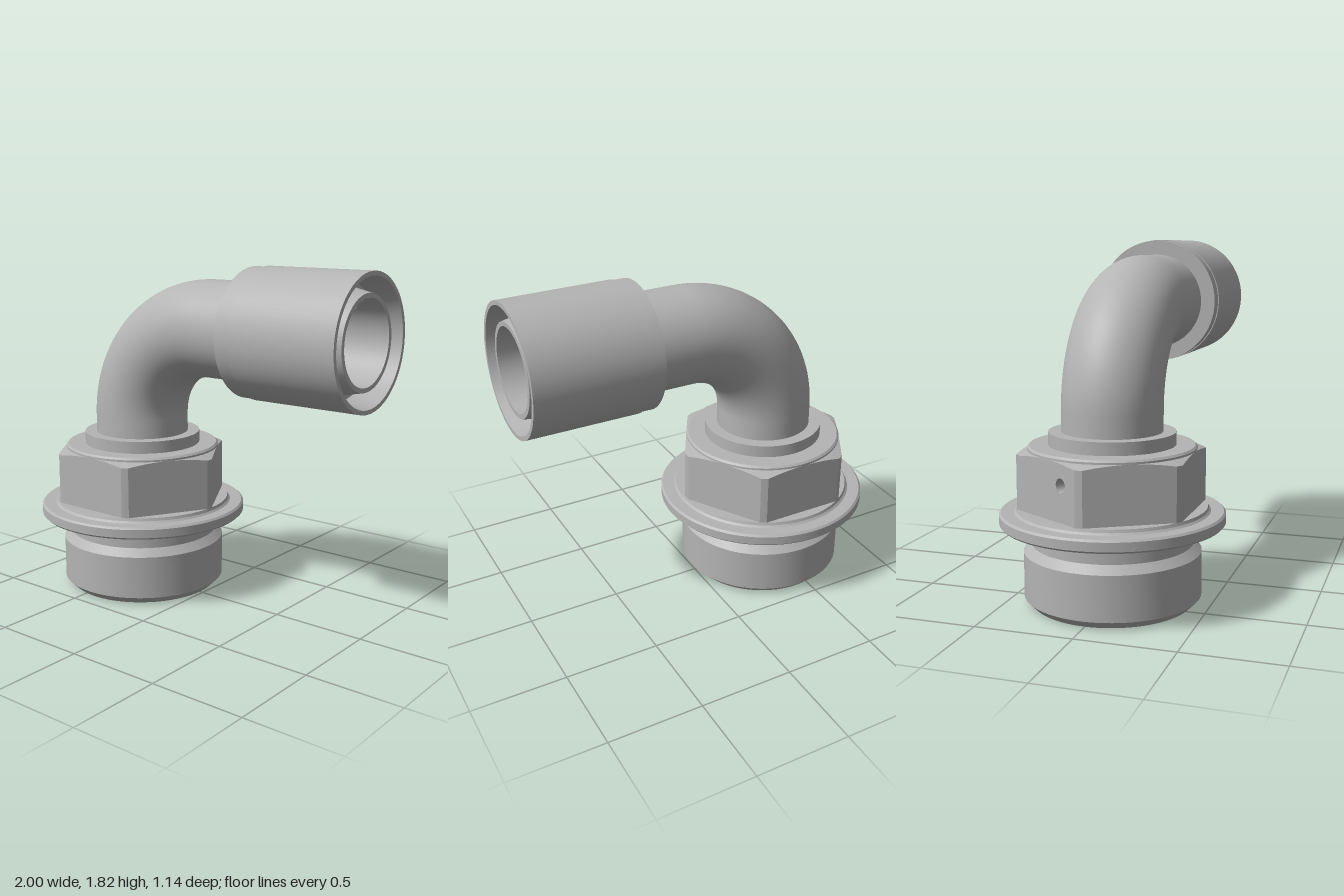
import * as THREE from 'three';
import { toCreasedNormals } from 'three/addons/utils/BufferGeometryUtils.js';

const AXIS_X = -0.43;   // vertical axis of the threaded end
const PIPE_Y = 1.48;    // height of the horizontal outlet
const PIPE_R = 0.255, BORE_R = 0.212, BEND_R = 0.505;
const FLAT = 0.425, CORNER = 0.48;   // hexagon: flat distance, turned corner radius
const HEX_BOTTOM = 0.49, HEX_TOP = 0.79;

export function createModel() {
  const model = new THREE.Group();
  model.name = 'elbowFitting';
  const steel = new THREE.MeshStandardMaterial({ color: 0xb4b4b4, side: THREE.DoubleSide });
  steel.name = 'steel grey';

  const add = (parent, name, geometry) => {
    const mesh = new THREE.Mesh(geometry, steel);
    mesh.name = name;
    parent.add(mesh);
    return mesh;
  };
  const turned = (profile) => toCreasedNormals(
    new THREE.LatheGeometry(profile.map(([r, y]) => new THREE.Vector2(r, y)), 96), 0.3);

  const base = new THREE.Group();
  base.name = 'base';
  base.position.x = AXIS_X;
  model.add(base);

  // Tapered bore, threaded spigot, groove, flange and the step below the nut
  add(base, 'spigotAndFlange', turned([
    [BORE_R, 0.88], [0.39, 0], [0.41, 0], [0.45, 0.04], [0.45, 0.27], [0.41, 0.31], [0.41, 0.41],
    [0.56, 0.41], [0.57, 0.42], [0.57, 0.465], [0.56, 0.475], [0.495, 0.475], [0.485, 0.485],
    [0.48, 0.50], [0.40, 0.50],
  ]));

  // Disc and collar on top of the nut
  add(base, 'collar', turned([
    [FLAT, HEX_TOP], [FLAT, 0.8], [0.415, 0.81], [0.32, 0.81], [0.32, 0.875], [PIPE_R, 0.875],
  ]));

  // Hexagonal nut
  const nut = new THREE.Group();
  nut.name = 'hexNut';
  base.add(nut);
  const chamferY = (r) => HEX_TOP - (r - FLAT) * 0.35;
  const halfWidth = Math.sqrt(CORNER ** 2 - FLAT ** 2);
  const cornerHalf = Math.PI / 6 - Math.acos(FLAT / CORNER);
  const hole = { u: 0.12, y: 0.68, r: 0.035, depth: 0.06 };

  for (let i = 0; i < 6; i++) {
    const angle = i * Math.PI / 3;
    // Flat whose top edge follows the chamfer
    const shape = new THREE.Shape();
    shape.moveTo(-halfWidth, HEX_BOTTOM);
    shape.lineTo(halfWidth, HEX_BOTTOM);
    for (let k = 12; k >= -12; k--) {
      const u = halfWidth * k / 12;
      shape.lineTo(u, chamferY(Math.hypot(FLAT, u)));
    }
    if (i === 4) {
      const circle = new THREE.Path();
      circle.absarc(hole.u, hole.y, hole.r, 0, Math.PI * 2, true);
      shape.holes.push(circle);
    }
    const flat = add(nut, 'nutFlat', new THREE.ShapeGeometry(shape, 24));
    flat.geometry.translate(0, 0, FLAT);
    flat.rotation.y = angle;

    // Narrow turned corner between two flats
    const height = chamferY(CORNER) - HEX_BOTTOM;
    const corner = add(nut, 'nutCorner', new THREE.CylinderGeometry(CORNER, CORNER, height, 4, 1, true,
      angle + Math.PI / 6 - cornerHalf, cornerHalf * 2));
    corner.position.y = HEX_BOTTOM + height / 2;
  }

  // Chamfer ring from the nut outline to the top disc
  const chamfer = new THREE.CylinderGeometry(FLAT, CORNER, 1, 180, 1, true);
  const p = chamfer.attributes.position;
  for (let i = 0; i < p.count; i++) {
    const a = Math.atan2(p.getX(i), p.getZ(i));
    const fold = a - Math.round(a / (Math.PI / 3)) * Math.PI / 3;
    const r = p.getY(i) > 0 ? FLAT - 0.002 : Math.min(FLAT / Math.cos(fold), CORNER);
    p.setXYZ(i, r * Math.sin(a), p.getY(i) > 0 ? HEX_TOP : chamferY(r), r * Math.cos(a));
  }
  chamfer.computeVertexNormals();
  add(nut, 'nutChamfer', chamfer);

  // Small blind hole in one flat
  const pit = new THREE.Group();
  pit.name = 'blindHole';
  pit.rotation.y = 4 * Math.PI / 3;
  nut.add(pit);
  const wall = new THREE.CylinderGeometry(hole.r, hole.r, hole.depth, 24, 1, true);
  wall.rotateX(Math.PI / 2).translate(hole.u, hole.y, FLAT - hole.depth / 2);
  add(pit, 'holeWall', wall);
  add(pit, 'holeFloor', new THREE.CircleGeometry(hole.r, 24).translate(hole.u, hole.y, FLAT - hole.depth));

  // Bent pipe: outer skin and bore, each with two straight ends and a quarter bend
  const bendX = AXIS_X + BEND_R, bendY = PIPE_Y - BEND_R;
  for (const [name, r, endX] of [['pipe', PIPE_R, 0.34], ['bore', BORE_R, 0.98]]) {
    const bend = new THREE.TorusGeometry(BEND_R, r, 64, 48, Math.PI / 2);
    bend.rotateZ(Math.PI / 2).translate(bendX, bendY, 0);
    add(model, name + 'Bend', bend);
    const riser = new THREE.CylinderGeometry(r, r, bendY - 0.87, 64, 1, true);
    add(model, name + 'Riser', riser).position.set(AXIS_X, (bendY + 0.87) / 2, 0);
    const run = new THREE.CylinderGeometry(r, r, endX - bendX, 64, 1, true);
    run.rotateZ(-Math.PI / 2);
    add(model, name + 'Run', run).position.set((bendX + endX) / 2, PIPE_Y, 0);
  }

  // Outlet sleeve with a flared mouth around the tapered inner nipple
  const sleeve = turned([
    [PIPE_R, 0.33], [0.332, 0.33], [0.332, 0.41], [0.337, 0.41], [0.337, 1], [0.315, 1],
    [0.285, 0.86], [0.26, 0.86], [0.235, 0.98], [BORE_R, 0.98],
  ]);
  sleeve.rotateZ(-Math.PI / 2);
  add(model, 'outletSleeve', sleeve).position.y = PIPE_Y;

  return model;
}
